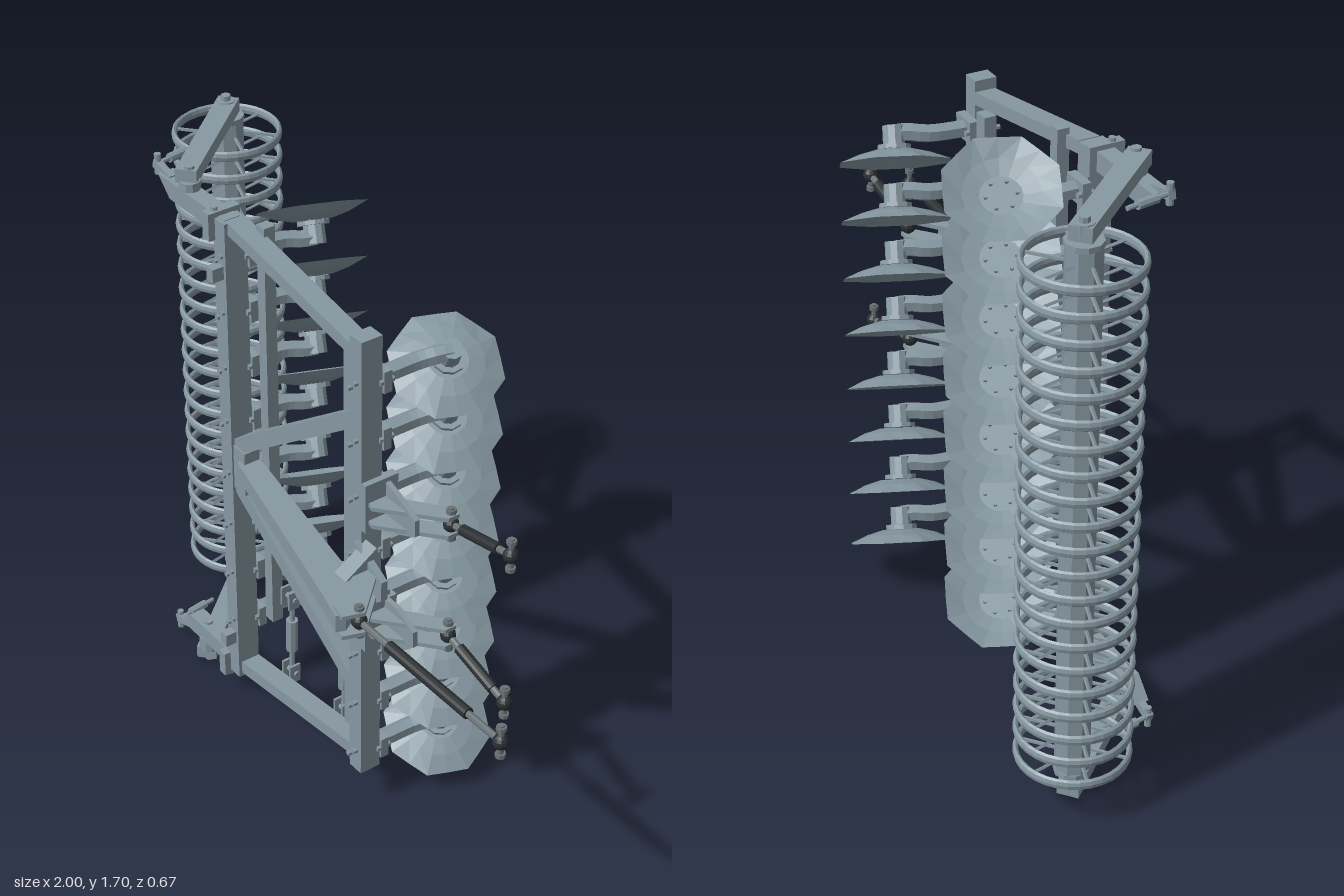
import * as THREE from 'three';

const V = (x, y, z) => new THREE.Vector3(x, y, z);

export function createModel() {
  const root = new THREE.Group();
  root.name = 'discHarrow';
  const paint = 0x8799a2;
  const steel = new THREE.MeshStandardMaterial({ color: paint, flatShading: true });
  const sheet = new THREE.MeshStandardMaterial({ color: paint, flatShading: true, side: THREE.DoubleSide });
  const dark = new THREE.MeshStandardMaterial({ color: 0x2b2f31, flatShading: true });
  const metal = new THREE.MeshStandardMaterial({ color: 0x6a7275, flatShading: true });

  const add = (name, geo, parent = root, mat = steel) => {
    const m = new THREE.Mesh(geo, mat);
    m.name = name;
    parent.add(m);
    return m;
  };
  const box = (name, x0, x1, y0, y1, z0, z1, parent) => {
    const m = add(name, new THREE.BoxGeometry(x1 - x0, y1 - y0, z1 - z0), parent);
    m.position.set((x0 + x1) / 2, (y0 + y1) / 2, (z0 + z1) / 2);
    return m;
  };
  // Round bar between two points
  const rod = (name, a, b, r, sides = 8, parent = root, mat = steel) => {
    const d = b.clone().sub(a);
    const m = add(name, new THREE.CylinderGeometry(r, r, d.length(), sides), parent, mat);
    m.position.copy(a).add(b).multiplyScalar(0.5);
    m.quaternion.setFromUnitVectors(V(0, 1, 0), d.normalize());
    return m;
  };
  // Rectangular bar between two points; "depth" lies along the given side direction
  const bar = (name, a, b, width, depth, side = V(0, 0, 1)) => {
    const d = b.clone().sub(a);
    const m = add(name, new THREE.BoxGeometry(d.length(), width, depth));
    const x = d.normalize(), y = side.clone().cross(x).normalize(), z = x.clone().cross(y);
    m.quaternion.setFromRotationMatrix(new THREE.Matrix4().makeBasis(x, y, z));
    m.position.copy(a).add(b).multiplyScalar(0.5);
    return m;
  };
  const extrude = (pts, depth) => new THREE.ExtrudeGeometry(
    new THREE.Shape(pts.map(p => new THREE.Vector2(p[0], p[1]))), { depth, bevelEnabled: false });
  // Flat plate drawn in x,z and standing between y0 and y1
  const plate = (name, pts, y0, y1) =>
    add(name, extrude(pts, y1 - y0).rotateX(Math.PI / 2).translate(0, y1, 0));
  // Plate drawn in x,y with a thickness along z
  const panel = (name, pts, z0, z1) => add(name, extrude(pts, z1 - z0).translate(0, 0, z0));

  // Frame: two main beams, two slim inner rails, cross bars and diagonals
  box('rearBeam', -0.417, -0.365, 0.09, 1.62, 0.07, 0.14);
  box('frontBeam', 0.18, 0.232, 0.14, 1.56, 0.07, 0.135);
  box('rearRail', -0.305, -0.27, 0.33, 1.63, 0.045, 0.08);
  box('frontRail', 0.08, 0.125, 0.17, 1.5, 0.045, 0.08);
  bar('topCrossBar', V(-0.37, 1.605, 0.1), V(0.21, 1.505, 0.1), 0.036, 0.06);
  bar('bottomCrossBar', V(-0.39, 0.12, 0.1), V(0.2, 0.195, 0.1), 0.04, 0.06);
  bar('upperDiagonal', V(-0.37, 0.91, 0.105), V(0.19, 1.31, 0.105), 0.045, 0.05);
  bar('lowerDiagonal', V(-0.37, 0.79, 0.105), V(0.19, 0.42, 0.105), 0.045, 0.05);
  plate('centreBeam', [[-0.37, 0.09], [-0.3, 0.085], [0.25, 0.185], [0.36, 0.25], [0.39, 0.3], [0.38, 0.325],
    [0.29, 0.3], [-0.33, 0.145]], 0.833, 0.885);
  box('centreGusset', -0.37, -0.31, 0.78, 0.92, 0.085, 0.135);
  for (const y of [0.235, 1.47]) box('beamLug', -0.405, -0.375, y - 0.02, y + 0.02, 0.14, 0.175);

  // Mast for the top link: fork cheeks on a tapered web against the front beam
  for (const s of [-1, 1])
    plate('mastFork', [[0.23, 0.12], [0.29, 0.12], [0.42, 0.26], [0.4, 0.32], [0.35, 0.31]],
      0.855 + s * 0.032 - 0.006, 0.855 + s * 0.032 + 0.006);
  add('mastWeb', extrude([[-0.12, 0.76], [-0.12, 0.95], [-0.22, 0.885], [-0.22, 0.825]], 0.05)
    .rotateY(Math.PI / 2).translate(0.23, 0, 0));
  panel('mastGusset', [[0.22, 0.76], [0.34, 0.825], [0.34, 0.885], [0.22, 0.95]], 0.13, 0.15);

  // Hitch links: dark sleeve, thinner ends, balls and cross pins
  const link = (name, a, b, t0, t1) => {
    const g = new THREE.Group();
    g.name = name;
    root.add(g);
    rod('linkRod', a, b, 0.01, 8, g, metal);
    rod('linkSleeve', a.clone().lerp(b, t0), a.clone().lerp(b, t1), 0.016, 12, g, dark);
    for (const p of [a, b]) {
      add('linkBall', new THREE.SphereGeometry(0.022, 10, 8), g, dark).position.copy(p);
      rod('linkPin', p.clone().add(V(0, -0.053, 0)), p.clone().add(V(0, 0.053, 0)), 0.008, 8, g, metal);
      for (const s of [-1, 1])
        rod('pinCollar', p.clone().add(V(0, s * 0.036, 0)), p.clone().add(V(0, s * 0.048, 0)), 0.014, 8, g, metal);
    }
  };
  link('topLink', V(0.4, 0.855, 0.265), V(0.977, 0.855, 0.265), 0.22, 0.78);
  link('upperLowerLink', V(0.41, 1.045, -0.02), V(0.655, 1.095, -0.017), 0.2, 0.8);
  link('lowerLowerLink', V(0.41, 0.68, -0.02), V(0.655, 0.615, -0.017), 0.2, 0.8);

  // Brackets of the lower links
  for (const [y, s] of [[1.045, 1], [0.68, -1]]) {
    for (const o of [-0.028, 0.028])
      plate('linkBracketCheek', [[0.23, 0.12], [0.25, 0.07], [0.39, -0.035], [0.425, -0.035], [0.425, 0.0], [0.27, 0.13]],
        y + o - 0.006, y + o + 0.006);
    const lo = y - 0.075 + s * 0.015, hi = y + 0.075 + s * 0.015;
    panel('linkBracketFace', [[0.21, lo], [0.3, lo], [0.375, y - 0.025], [0.375, y + 0.025],
      [0.3, y + 0.06], [0.21, hi]], 0.055, 0.07);
    box('linkBracketBase', 0.225, 0.25, lo, hi, 0.03, 0.135);
  }

  // Dished disc with a scalloped rim; its convex side looks up in local space
  const discGeo = new THREE.LatheGeometry(
    [[0.157, -0.034], [0.1, -0.012], [0.055, 0], [0.0001, 0]].map(p => new THREE.Vector2(p[0], p[1])), 16);
  const dp = discGeo.attributes.position;
  for (let i = 0; i < dp.count; i++) {
    if (Math.hypot(dp.getX(i), dp.getZ(i)) < 0.12) continue;
    if (Math.floor(i / 4) % 2) { dp.setX(i, dp.getX(i) * 0.93); dp.setZ(i, dp.getZ(i) * 0.93); }
  }

  // Disc units: s = 1 for the front row, -1 for the mirrored rear row
  const discUnit = (x, y, s) => {
    const g = new THREE.Group();
    g.name = s > 0 ? 'frontDiscUnit' : 'rearDiscUnit';
    g.position.set(x, y, 0);
    root.add(g);
    const n = V(0.6, s, 0.25).normalize(), c = V(0.015, 0, -0.153);
    const at = d => c.clone().addScaledVector(n, d);
    const disc = add('disc', discGeo, g, sheet);
    disc.position.copy(c);
    disc.quaternion.setFromUnitVectors(V(0, 1, 0), n);
    rod('hubFlange', at(0.002), at(0.014), 0.045, 10, g);
    rod('hub', at(0.002), at(0.065), 0.03, 10, g);
    for (let i = 0; i < 6; i++) {
      const a = i * Math.PI / 3;
      const b = add('discBolt', new THREE.CylinderGeometry(0.005, 0.005, 0.01, 6), disc);
      b.position.set(0.04 * Math.cos(a), -0.004, 0.04 * Math.sin(a));
    }
    // Curved arm from the beam clamp to the hub
    const path = new THREE.CatmullRomCurve3([V(0, s * 0.025, 0.08), V(0.003, s * 0.025, 0.02),
      V(0.01, s * 0.03, -0.06), V(0.028, s * 0.038, -0.11), at(0.045)]);
    add('discArm', new THREE.TubeGeometry(path, 10, 0.026, 6), g);
    box('armClamp', -0.04, 0.04, s * 0.025 - 0.032, s * 0.025 + 0.032, 0.045, 0.07, g);
    for (const k of [-1, 1]) {
      rod('clampBolt', V(k * 0.031, s * 0.025, 0.035), V(k * 0.031, s * 0.025, 0.08), 0.009, 6, g);
      rod('beamBolt', V(k * 0.012, s * 0.025 + k * 0.012, 0.13), V(k * 0.012, s * 0.025 + k * 0.012, 0.148), 0.008, 6, g);
    }
  };
  for (let i = 0; i < 8; i++) {
    discUnit(0.2, 1.395 - i * 0.174, 1);
    discUnit(-0.395, 1.53 - i * 0.174, -1);
  }

  // Roller: octagonal core, flat-sided rings and spokes
  const roller = new THREE.Group();
  roller.name = 'roller';
  roller.position.set(-0.845, 0, -0.19);
  root.add(roller);
  rod('rollerCore', V(0, 0.1, 0), V(0, 1.625, 0), 0.048, 8, roller);
  rod('rollerShaft', V(0, 0.005, 0), V(0, 1.7, 0), 0.014, 8, roller);
  for (const [y0, y1, r] of [[0.02, 0.05, 0.026], [0.085, 0.1, 0.05], [1.625, 1.64, 0.05], [1.655, 1.685, 0.026]])
    rod('bearing', V(0, y0, 0), V(0, y1, 0), r, 10, roller);
  const ringGeo = new THREE.TorusGeometry(0.147, 0.008, 8, 32);
  ringGeo.scale(1, 1, 1.9);
  ringGeo.rotateX(Math.PI / 2);
  for (let i = 0; i <= 20; i++) {
    const y = 0.155 + i * 0.0715;
    add('rollerRing', ringGeo, roller).position.y = y;
    for (let k = 0; k < 6; k++) {
      const a = k * Math.PI / 3, b = a + 0.25;
      rod('rollerSpoke', V(0.04 * Math.cos(a), y, 0.04 * Math.sin(a)),
        V(0.146 * Math.cos(b), y, 0.146 * Math.sin(b)), 0.005, 4, roller);
    }
  }

  // Roller mounting at both ends: outrigger, swing arm, pins and adjuster
  for (const [yo, ya, s] of [[1.595, 1.662, 1], [0.115, 0.034, -1]]) {
    panel('outrigger', [[-0.7, yo + s * 0.027], [-0.645, yo - s * 0.027], [-0.38, yo - s * 0.027],
      [-0.38, yo + s * 0.027]], 0.08, 0.13);
    bar('swingArm', V(-0.86, ya, -0.21), V(-0.575, ya, 0.12), 0.06, 0.04, V(0, 1, 0));
    rod('swingPin', V(-0.58, yo - s * 0.035, 0.105), V(-0.58, ya + s * 0.028, 0.105), 0.014);
    rod('swingCollar', V(-0.58, yo + s * 0.02, 0.105), V(-0.58, ya - s * 0.015, 0.105), 0.03, 10);
    rod('outriggerPin', V(-0.427, yo - 0.05, 0.13), V(-0.427, yo + 0.05, 0.13), 0.01);
    box('outriggerLug', -0.44, -0.41, yo - 0.04, yo + 0.04, 0.06, 0.16);
    const y = ya - s * 0.03;
    rod('adjusterRod', V(-0.75, y, -0.02), V(-0.73, y, 0.11), 0.007);
    rod('adjusterSleeve', V(-0.746, y, 0.01), V(-0.737, y, 0.07), 0.013);
    rod('adjusterPin', V(-0.73, y - 0.03, 0.11), V(-0.73, y + 0.03, 0.11), 0.01);
    bar('adjusterLug', V(-0.74, y, 0.11), V(-0.66, (y + yo) / 2, 0.11), 0.025, 0.02);
  }

  // Turnbuckles at the lower end of the frame
  for (const [x, y0] of [[-0.222, 0.15], [0.035, 0.18]]) {
    const z = 0.05, y1 = y0 + 0.31;
    rod('turnbuckleRod', V(x, y0, z), V(x + 0.008, y1, z), 0.008);
    rod('turnbuckleSleeve', V(x + 0.002, y0 + 0.1, z), V(x + 0.005, y0 + 0.21, z), 0.018);
    for (const y of [y0 + 0.02, y1 - 0.02]) {
      for (const k of [-1, 1])
        box('turnbuckleClevis', x + k * 0.018 - 0.004, x + k * 0.018 + 0.004, y - 0.03, y + 0.03, 0.035, 0.07);
      rod('turnbucklePin', V(x - 0.028, y, z), V(x + 0.028, y, z), 0.009);
    }
  }
  return root;
}
